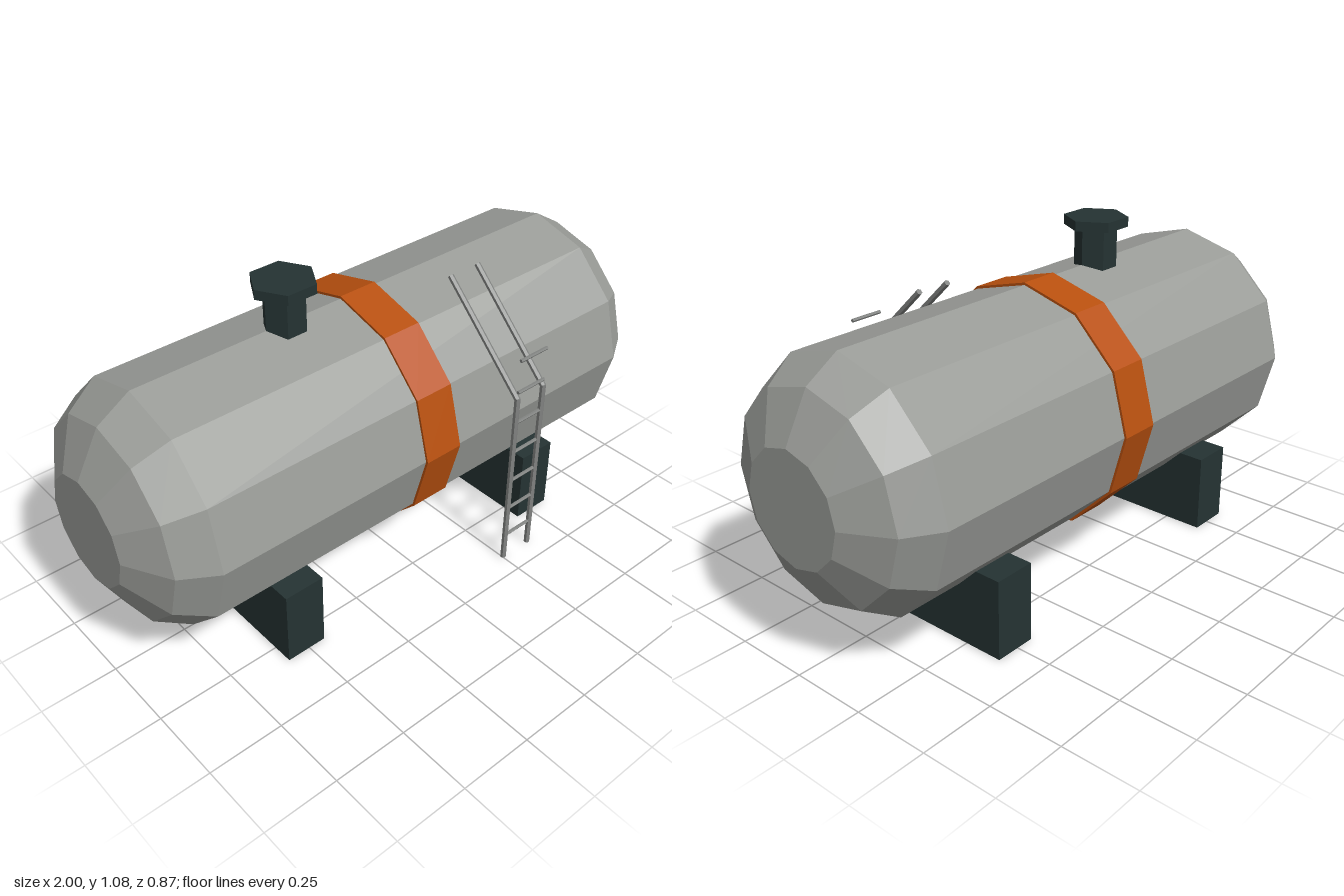
import * as THREE from 'three';

const mat = (name, color) => {
  const m = new THREE.MeshStandardMaterial({ color, flatShading: true });
  m.name = name;
  return m;
};

export function createModel() {
  const model = new THREE.Group();
  model.name = 'storageTank';

  const tankGrey = mat('tankGrey', 0x9a9c98);
  const bandOrange = mat('bandOrange', 0xb8500f);
  const darkSteel = mat('darkSteel', 0x253333);
  const ladderGrey = mat('ladderGrey', 0x828482);

  const AXIS_Y = 0.536, AXIS_Z = -0.03;

  const add = (name, geometry, material, x = 0, y = 0, z = 0, parent = model) => {
    const mesh = new THREE.Mesh(geometry, material);
    mesh.name = name;
    mesh.position.set(x, y, z);
    parent.add(mesh);
    return mesh;
  };

  // Twelve-sided solid turned around the long axis, from [radius, x] points
  const turned = (points) =>
    new THREE.LatheGeometry(points.map(([r, x]) => new THREE.Vector2(r, x)), 12).rotateZ(-Math.PI / 2);

  // Tank with stepped, domed ends
  add('tank', turned([
    [0, -1], [0.178, -1], [0.325, -0.92], [0.394, -0.81],
    [0.394, 0.81], [0.325, 0.92], [0.178, 1], [0, 1],
  ]), tankGrey, 0, AXIS_Y, AXIS_Z);

  // Painted band around the middle
  add('band', turned([
    [0.39, -0.068], [0.402, -0.068], [0.402, 0.068], [0.39, 0.068],
  ]), bandOrange, 0, AXIS_Y, AXIS_Z);

  // Two cradle blocks
  for (const [name, x] of [['rightCradle', -0.51], ['leftCradle', 0.51]]) {
    add(name, new THREE.BoxGeometry(0.138, 0.26, 0.697), darkSteel, x, 0.13, AXIS_Z);
  }

  // Hexagonal filler hatch
  const hex = (r, h) => new THREE.CylinderGeometry(r, r, h, 6).rotateY(Math.PI / 6);
  add('hatchNeck', hex(0.069, 0.14), darkSteel, -0.28, 0.985, AXIS_Z);
  add('hatchCap', hex(0.104, 0.032), darkSteel, -0.28, 1.064, AXIS_Z);

  // Ladder: thin bars between two points
  const ladder = new THREE.Group();
  ladder.name = 'ladder';
  model.add(ladder);
  const bar = (name, from, to, r) => {
    const a = new THREE.Vector3(...from), b = new THREE.Vector3(...to);
    const dir = b.clone().sub(a);
    const mid = a.clone().add(b).multiplyScalar(0.5);
    const mesh = add(name, new THREE.CylinderGeometry(r, r, dir.length(), 6), ladderGrey, mid.x, mid.y, mid.z, ladder);
    mesh.quaternion.setFromUnitVectors(new THREE.Vector3(0, 1, 0), dir.normalize());
  };
  const LADDER_Z = 0.425, RAILS = [0.255, 0.371];
  for (const x of RAILS) {
    bar('ladderRail', [x, 0, LADDER_Z], [x, 0.655, LADDER_Z], 0.01);
    bar('ladderHandrail', [x, 0.65, LADDER_Z], [x, 0.952, 0.114], 0.01);
  }
  for (let i = 0; i < 7; i++) {
    const y = 0.096 + i * 0.1158;
    bar('ladderRung', [RAILS[0], y, LADDER_Z], [RAILS[1], y, LADDER_Z], 0.006);
  }

  return model;
}
